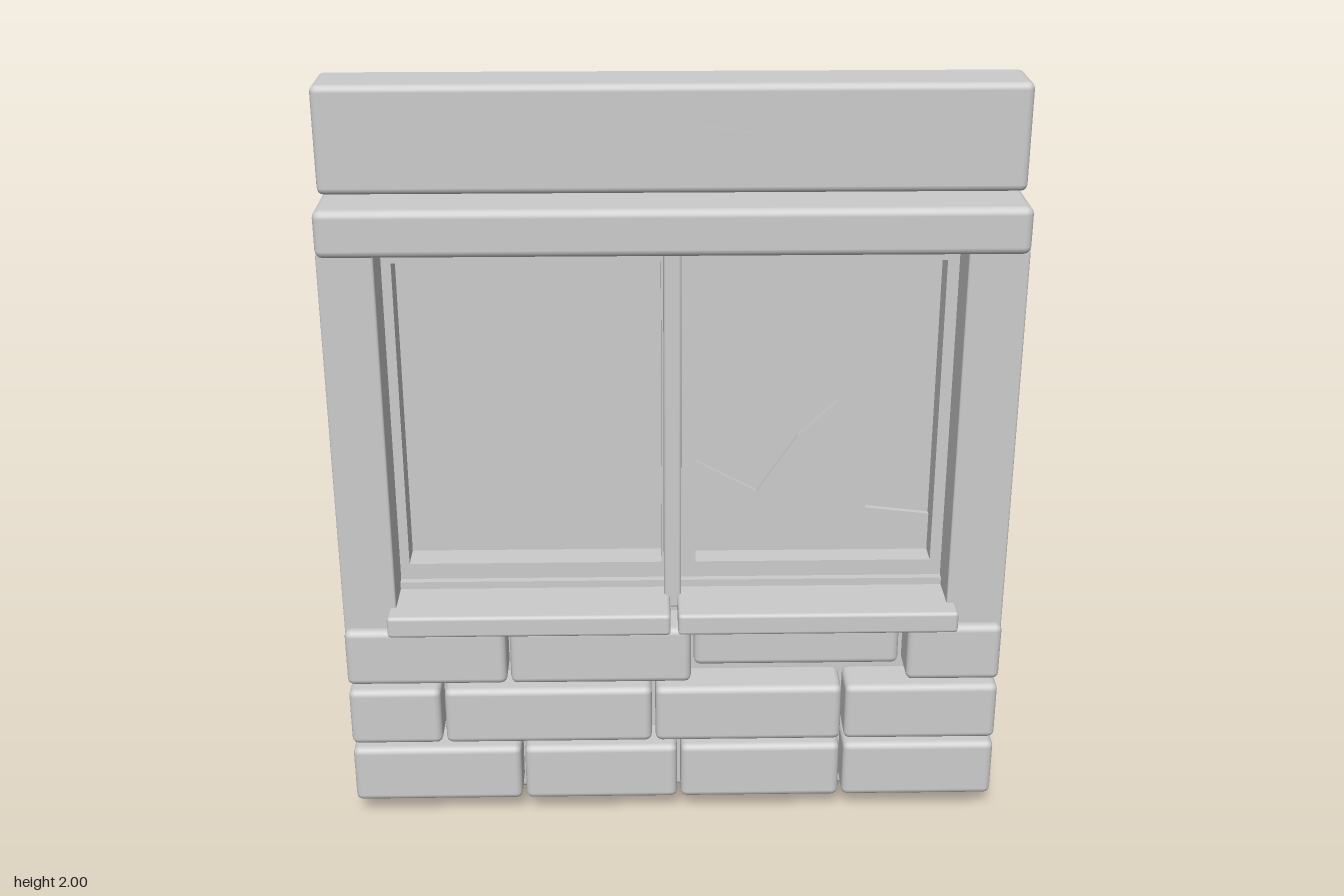
import * as THREE from 'three';
import { RoundedBoxGeometry } from 'three/addons/geometries/RoundedBoxGeometry.js';

export function createModel() {
  const model = new THREE.Group();
  model.name = 'windowWall';
  const plaster = new THREE.MeshStandardMaterial({ color: 0xcccccc });
  plaster.name = 'pale grey';

  const add = (name, geometry, parent = model) => {
    const mesh = new THREE.Mesh(geometry, plaster);
    mesh.name = name;
    parent.add(mesh);
    return mesh;
  };

  // Box given by its limits, with optional rounded edges
  const block = (name, x0, x1, y0, y1, z0, z1, r = 0.015, parent = model) => {
    const size = [x1 - x0, y1 - y0, z1 - z0];
    const geometry = r > 0 ? new RoundedBoxGeometry(...size, 2, r) : new THREE.BoxGeometry(...size);
    const mesh = add(name, geometry, parent);
    mesh.position.set((x0 + x1) / 2, (y0 + y1) / 2, (z0 + z1) / 2);
    return mesh;
  };

  // Flat outline extruded from z0 to z1
  const plate = (name, points, z0, z1, parent = model) => {
    const shape = new THREE.Shape(points.map(([x, y]) => new THREE.Vector2(x, y)));
    const geometry = new THREE.ExtrudeGeometry(shape, { depth: z1 - z0, bevelEnabled: false });
    add(name, geometry, parent).position.z = z0;
  };

  // Main structure
  block('topBeam', -0.87, 0.87, 1.73, 2.0, -0.14, 0.027, 0.018);
  block('lintel', -0.87, 0.87, 1.6, 1.72, -0.14, 0.128, 0.02);
  block('lowerWall', -0.868, 0.868, 0.005, 0.6, -0.138, 0, 0.015);
  block('rightPost', -0.87, -0.73, 0.52, 1.61, -0.136, 0.112, 0.006);
  block('leftPost', 0.72, 0.87, 0.52, 1.61, -0.136, 0.112, 0.006);

  // Chip in the top beam
  plate('beamChip', [[0.02, 1.86], [0.06, 1.835], [0.19, 1.845], [0.21, 1.88], [0.065, 1.9]], 0.02, 0.029);

  // Brick courses: joints between bricks along x
  const bricks = new THREE.Group();
  bricks.name = 'bricks';
  model.add(bricks);
  const courses = [
    { y0: 0.055, y1: 0.22, joints: [-0.875, -0.41, 0.013, 0.455, 0.875] },
    { y0: 0.235, y1: 0.4, joints: [-0.875, -0.62, -0.055, 0.455, 0.875] },
    { y0: 0.418, y1: 0.58, joints: [-0.875, -0.44, 0.05, 0.615, 0.875] },
  ];
  courses.forEach(({ y0, y1, joints }, row) => {
    for (let i = 0; i < 4; i++) {
      // one brick in the top course is pushed in
      const shift = row === 2 && i === 2 ? -0.09 : 0;
      block('brick', joints[i] + 0.005, joints[i + 1] - 0.005, y0, y1, 0.01 + shift, 0.136 + shift, 0.018, bricks);
    }
  });

  // Sills
  block('rightSill', -0.75, -0.01, 0.58, 0.64, -0.06, 0.17, 0.01);
  block('leftSill', 0.01, 0.745, 0.58, 0.64, -0.06, 0.17, 0.01);

  // Central mullion, standing proud of the back
  block('mullion', -0.025, 0.02, 0.6, 1.6, -0.168, 0.05, 0.008);

  // Window sashes: frame with opening, lower rail and pane
  const sash = (name, x0, x1, gx0, gx1) => {
    const group = new THREE.Group();
    group.name = name;
    model.add(group);
    const frame = new THREE.Shape([
      new THREE.Vector2(x0, 0.62), new THREE.Vector2(x1, 0.62),
      new THREE.Vector2(x1, 1.6), new THREE.Vector2(x0, 1.6)]);
    frame.holes.push(new THREE.Path([
      new THREE.Vector2(gx0, 0.705), new THREE.Vector2(gx0, 1.545),
      new THREE.Vector2(gx1, 1.545), new THREE.Vector2(gx1, 0.705)]));
    const geometry = new THREE.ExtrudeGeometry(frame, { depth: 0.085, bevelEnabled: false });
    add('sashFrame', geometry, group).position.z = -0.1;
    block('sashRail', x0, x1, 0.62, 0.66, -0.05, 0.005, 0, group);
    block('pane', x0, x1, 0.61, 1.59, -0.147, -0.095, 0, group);
  };
  sash('rightSash', -0.73, -0.025, -0.705, -0.03);
  sash('leftSash', 0.02, 0.72, 0.06, 0.69);

  // Broken remainder of glass
  plate('brokenGlass', [
    [0.06, 0.705], [0.69, 0.705], [0.69, 0.81], [0.52, 0.83],
    [0.435, 1.14], [0.33, 1.04], [0.225, 0.88], [0.06, 0.97],
  ], -0.096, -0.08);

  return model;
}
